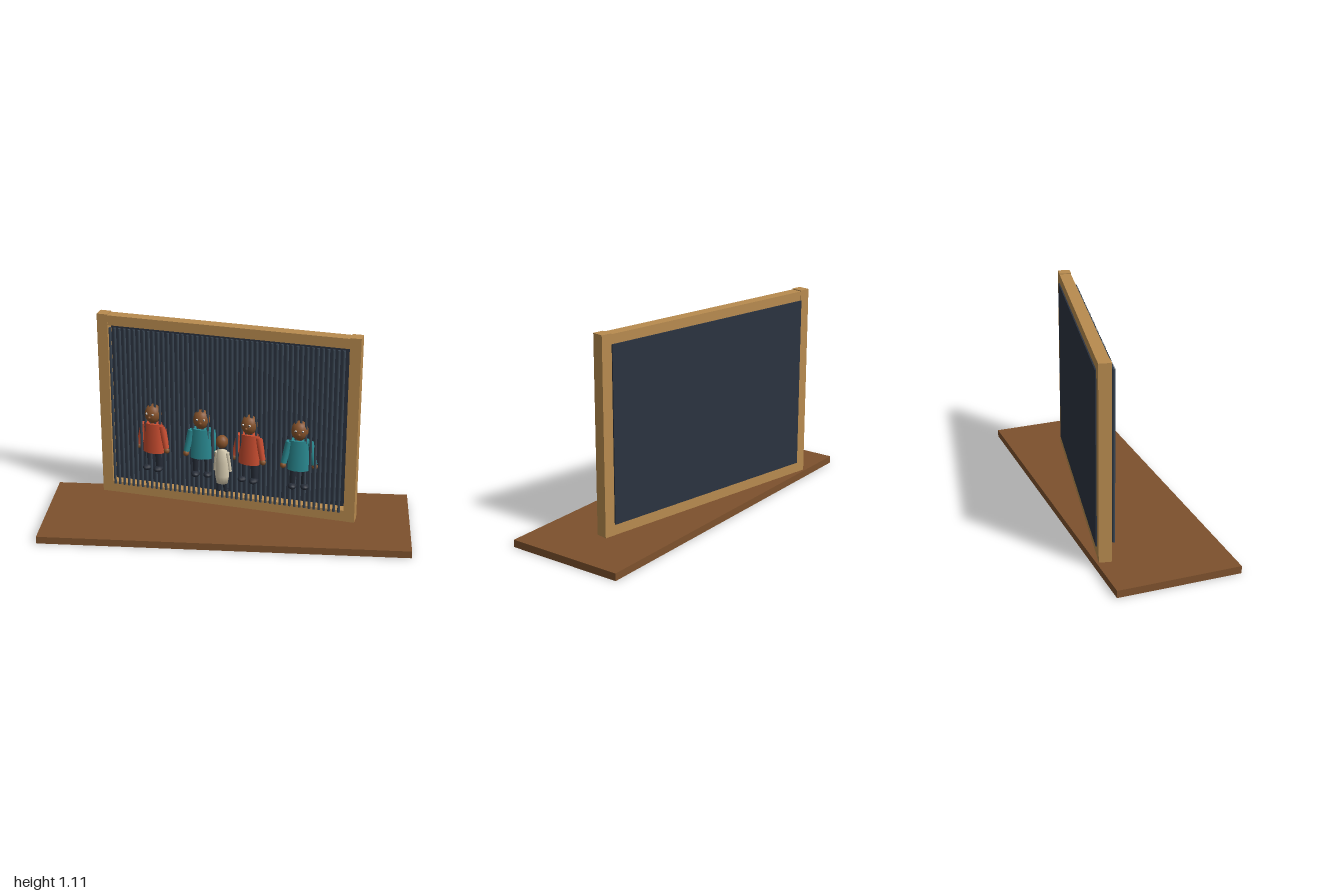
import * as THREE from 'three';

const mat = (name, color) => {
  const m = new THREE.MeshStandardMaterial({ color });
  m.name = name;
  return m;
};
const M = {
  base: mat('brown wood', 0x7d512d),
  frame: mat('pale wood', 0xb88b4f),
  panel: mat('dark slate', 0x2b3340),
  slat: mat('grey slate', 0x3a4653),
  red: mat('red cloth', 0xc94d30),
  teal: mat('teal cloth', 0x2a8a92),
  cream: mat('cream cloth', 0xd6cbb0),
  skin: mat('brown skin', 0x85522b),
  dark: mat('dark trousers', 0x262c37),
  white: mat('eye white', 0xf0efe8),
};

function add(parent, name, geometry, material, x = 0, y = 0, z = 0) {
  const mesh = new THREE.Mesh(geometry, material);
  mesh.name = name;
  mesh.position.set(x, y, z);
  parent.add(mesh);
  return mesh;
}
const box = (w, h, d) => new THREE.BoxGeometry(w, h, d);

// A tapered limb between two points
function limb(parent, name, material, a, b, ra, rb) {
  const from = new THREE.Vector3(...a), to = new THREE.Vector3(...b);
  const dir = to.clone().sub(from);
  const mid = from.clone().add(to).multiplyScalar(0.5);
  const mesh = add(parent, name, new THREE.CylinderGeometry(rb, ra, dir.length(), 10), material, ...mid);
  mesh.quaternion.setFromUnitVectors(new THREE.Vector3(0, 1, 0), dir.normalize());
  return mesh;
}

// Standing adult, feet at y = 0, facing +z
function createAdult(cloth) {
  const g = new THREE.Group();
  g.name = 'adultFigure';
  const torso = add(g, 'torso', new THREE.CylinderGeometry(0.055, 0.064, 0.175, 12), cloth, 0, 0.2, 0);
  torso.scale.z = 0.58;
  add(g, 'neck', new THREE.CylinderGeometry(0.018, 0.018, 0.03, 10), M.skin, 0, 0.29, 0);
  const head = add(g, 'head', new THREE.SphereGeometry(0.047, 16, 12), M.skin, 0, 0.341, 0);
  head.scale.set(1, 1.17, 0.95);
  add(g, 'nose', new THREE.SphereGeometry(0.008, 8, 6), M.skin, 0, 0.332, 0.045);
  for (const s of [-1, 1]) {
    limb(g, 'arm', cloth, [s * 0.056, 0.275, 0], [s * 0.083, 0.15, 0.008], 0.02, 0.017);
    add(g, 'hand', new THREE.SphereGeometry(0.017, 10, 8), M.skin, s * 0.086, 0.136, 0.01);
    limb(g, 'leg', M.dark, [s * 0.03, 0.12, 0], [s * 0.033, 0.015, 0], 0.023, 0.02);
    const shoe = add(g, 'shoe', new THREE.SphereGeometry(0.025, 10, 8), M.dark, s * 0.034, 0.017, 0.014);
    shoe.scale.set(1, 0.68, 1.35);
    add(g, 'eye', new THREE.SphereGeometry(0.0065, 8, 6), M.white, s * 0.019, 0.351, 0.04);
    add(g, 'pupil', new THREE.SphereGeometry(0.0035, 6, 5), M.dark, s * 0.019, 0.351, 0.0455);
  }
  return g;
}

// Small figure in a long coat, feet at y = 0, facing +z
function createChild() {
  const g = new THREE.Group();
  g.name = 'childFigure';
  const coat = [[0, 0.055], [0.032, 0.055], [0.04, 0.1], [0.036, 0.18], [0.028, 0.25], [0, 0.258]];
  const body = add(g, 'coat', new THREE.LatheGeometry(coat.map(p => new THREE.Vector2(...p)), 12), M.cream);
  body.scale.z = 0.7;
  const head = add(g, 'head', new THREE.SphereGeometry(0.034, 14, 10), M.skin, 0, 0.302, 0);
  head.scale.y = 1.12;
  for (const s of [-1, 1]) {
    limb(g, 'sleeve', M.cream, [s * 0.029, 0.24, 0], [s * 0.043, 0.125, 0.01], 0.012, 0.01);
    limb(g, 'leg', M.dark, [s * 0.018, 0.08, 0], [s * 0.02, 0.01, 0], 0.013, 0.012);
    const shoe = add(g, 'shoe', new THREE.SphereGeometry(0.015, 8, 6), M.dark, s * 0.021, 0.01, 0.008);
    shoe.scale.set(1, 0.68, 1.35);
  }
  return g;
}

export function createModel() {
  const model = new THREE.Group();
  model.name = 'slattedScreenDisplay';
  add(model, 'base', box(2, 0.04, 0.664), M.base, 0, 0.02, 0);

  // Everything on the screen is turned slightly on the base
  const screen = new THREE.Group();
  screen.name = 'screen';
  screen.position.set(-0.01, 0, -0.143);
  screen.rotation.y = -0.2;
  model.add(screen);

  // Frame
  for (const s of [-1, 1]) add(screen, 'post', box(0.06, 1.066, 0.066), M.frame, s * 0.698, 0.572, 0);
  add(screen, 'topRail', box(1.336, 0.056, 0.064), M.frame, 0, 1.072, 0);
  add(screen, 'bottomRail', box(1.336, 0.064, 0.064), M.frame, 0, 0.072, 0);
  add(screen, 'backPanel', box(1.335, 0.95, 0.016), M.panel, 0, 0.574, -0.031);

  // Row of upright slats before the panel
  const slats = 48;
  const slatGeometry = new THREE.CylinderGeometry(0.0075, 0.0075, 0.936, 8);
  for (let i = 0; i < slats; i++) {
    const x = -0.645 + (1.29 * i) / (slats - 1);
    add(screen, 'slat', slatGeometry, M.slat, x, 0.573, 0.056);
  }

  // Four adults alternating in colour and turn
  [-0.414, -0.134, 0.137, 0.417].forEach((x, i) => {
    const adult = createAdult(i % 2 ? M.teal : M.red);
    adult.position.set(x, 0.218, 0.045);
    adult.rotation.y = i % 2 ? 0.15 : -0.15;
    screen.add(adult);
  });

  // Child looking at the screen
  const child = createChild();
  child.position.set(0, 0.165, 0.106);
  child.rotation.y = Math.PI;
  screen.add(child);
  return model;
}
